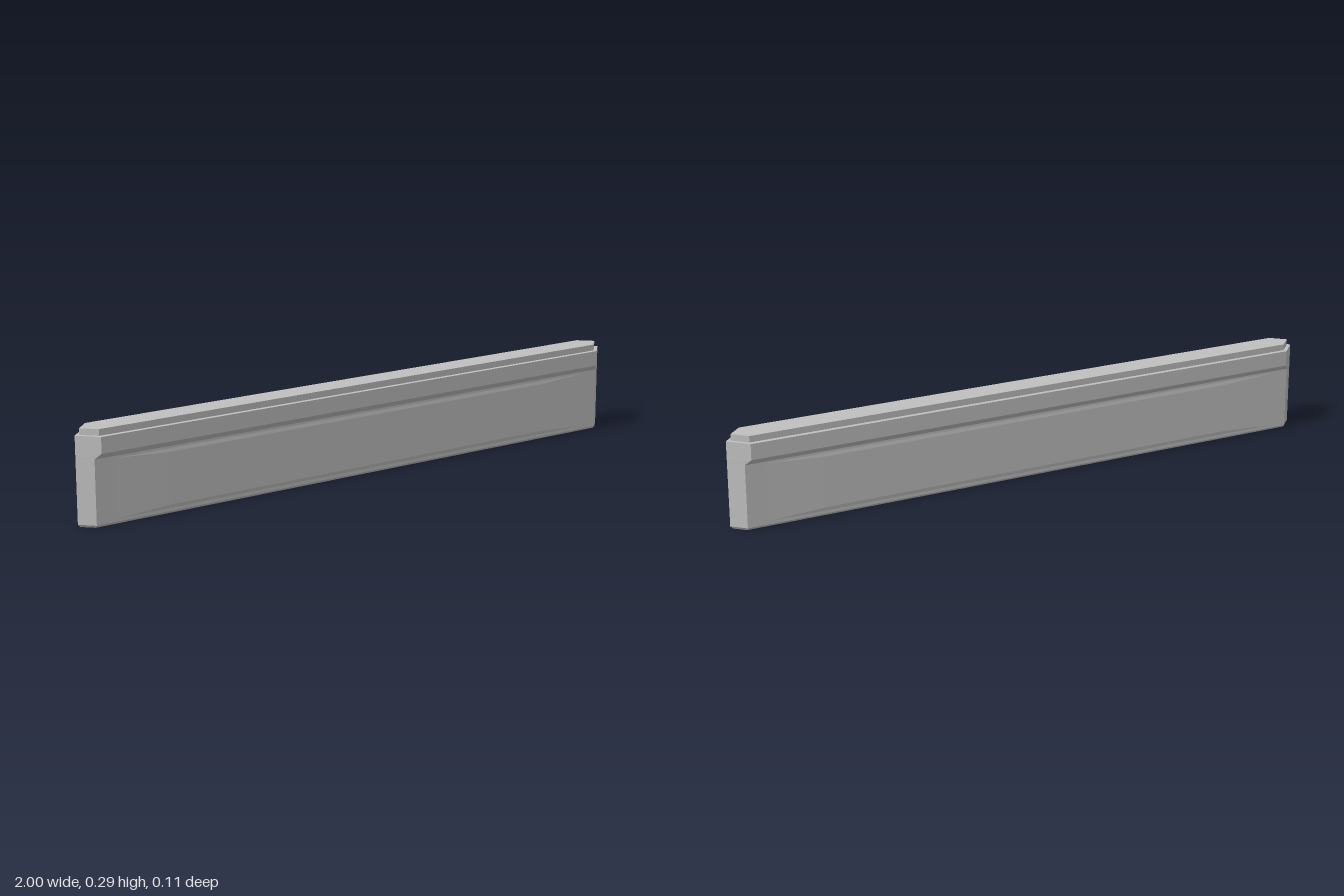
import * as THREE from 'three';

const steel = new THREE.MeshStandardMaterial({ color: 0xc0c0c0 });
steel.name = 'steel grey';

// Stack of six-sided rings [y, half width, shoulder x, tip x], capped at both ends
function pointedBeam(rings) {
  const pos = [];
  const loops = rings.map(([y, w, s, t]) => [
    [t, y, 0], [s, y, w], [-s, y, w], [-t, y, 0], [-s, y, -w], [s, y, -w],
  ]);
  const tri = (a, b, c) => pos.push(...a, ...b, ...c);
  for (let r = 0; r < loops.length - 1; r++) {
    const lo = loops[r], up = loops[r + 1];
    for (let i = 0; i < 6; i++) {
      const j = (i + 1) % 6;
      tri(lo[i], up[i], lo[j]);
      tri(lo[j], up[i], up[j]);
    }
  }
  const bottom = loops[0], top = loops[loops.length - 1];
  for (let i = 1; i < 5; i++) {
    tri(bottom[0], bottom[i], bottom[i + 1]);
    tri(top[0], top[i + 1], top[i]);
  }
  const geo = new THREE.BufferGeometry();
  geo.setAttribute('position', new THREE.Float32BufferAttribute(pos, 3));
  geo.computeVertexNormals();
  return geo;
}

// Thin plate whose outer face is smaller than its base, giving a gentle swell
function swellGeometry() {
  const geo = new THREE.BoxGeometry(1.91, 0.19, 0.002);
  const p = geo.attributes.position;
  for (let i = 0; i < p.count; i++) {
    if (p.getZ(i) > 0) p.setXY(i, p.getX(i) * 0.75, p.getY(i) * 0.85);
  }
  const flat = geo.toNonIndexed();
  flat.computeVertexNormals();
  return flat;
}

export function createModel() {
  const group = new THREE.Group();
  group.name = 'pointedWall';
  const add = (name, geo) => {
    const mesh = new THREE.Mesh(geo, steel);
    mesh.name = name;
    group.add(mesh);
    return mesh;
  };

  // Wall with chamfered foot, flared rail and inset cap
  add('wall', pointedBeam([
    [0, 0.033, 0.96, 0.993],
    [0.008, 0.0405, 0.96, 1],
    [0.207, 0.0405, 0.96, 1],
    [0.225, 0.0565, 0.945, 1],
    [0.275, 0.0565, 0.945, 1],
    [0.275, 0.042, 0.943, 0.985],
    [0.295, 0.042, 0.943, 0.985],
  ]));

  // Slight swell on both faces
  for (const side of [1, -1]) {
    const panel = add(side > 0 ? 'frontSwell' : 'backSwell', swellGeometry());
    panel.position.set(0, 0.109, side * 0.041);
    if (side < 0) panel.rotation.y = Math.PI;
  }
  return group;
}
